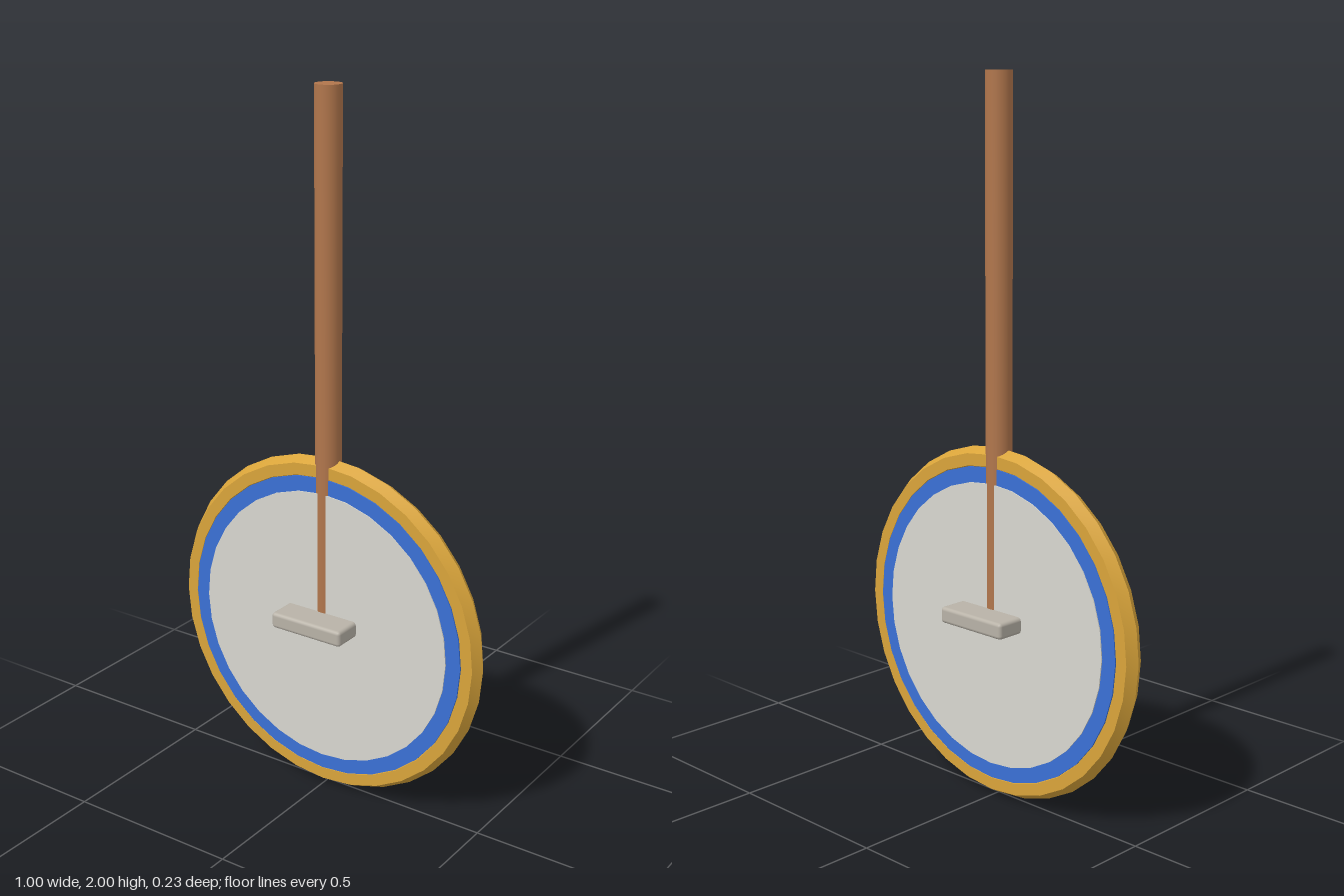
import * as THREE from 'three';
import { toCreasedNormals } from 'three/addons/utils/BufferGeometryUtils.js';
import { RoundedBoxGeometry } from 'three/addons/geometries/RoundedBoxGeometry.js';

const CENTER_Y = 0.502;
const SIDES = 32;

function material(name, color) {
  const m = new THREE.MeshStandardMaterial({ color });
  m.name = name;
  return m;
}

export function createModel() {
  const model = new THREE.Group();
  model.name = 'discOnPole';

  const gold = material('gold', 0xd9a43a);
  const blue = material('blue', 0x3a70d6);
  const paleGrey = material('pale grey', 0xd8d7d0);
  const stone = material('stone grey', 0xb8b2a7);
  const wood = material('brown wood', 0xb1764c);

  function add(name, geometry, mat, y) {
    const mesh = new THREE.Mesh(geometry, mat);
    mesh.name = name;
    mesh.position.y = y;
    model.add(mesh);
  }

  // Solid disc facing front and back
  const disc = (radius, halfDepth) =>
    new THREE.CylinderGeometry(radius, radius, halfDepth * 2, SIDES).rotateX(Math.PI / 2);

  // Hexagonal-section rim, round along its length with sharp section edges
  const rim = new THREE.TorusGeometry(0.466, 0.034, 6, SIDES);
  add('rim', toCreasedNormals(rim, Math.PI / 5), gold, CENTER_Y);

  // Blue band showing around the raised pale centre
  add('blueBand', disc(0.447, 0.0305), blue, CENTER_Y);
  add('centrePlate', disc(0.403, 0.0335), paleGrey, CENTER_Y);

  // Pole running from the middle of the disc up to the top
  const bottom = 0.53;
  add('pole', new THREE.CylinderGeometry(0.0365, 0.0365, 2 - bottom, 24), wood, (2 + bottom) / 2);

  // Small block through the centre, bevelled on its edges
  add('centreBlock', new RoundedBoxGeometry(0.23, 0.046, 0.23, 2, 0.01), stone, 0.528);

  return model;
}
